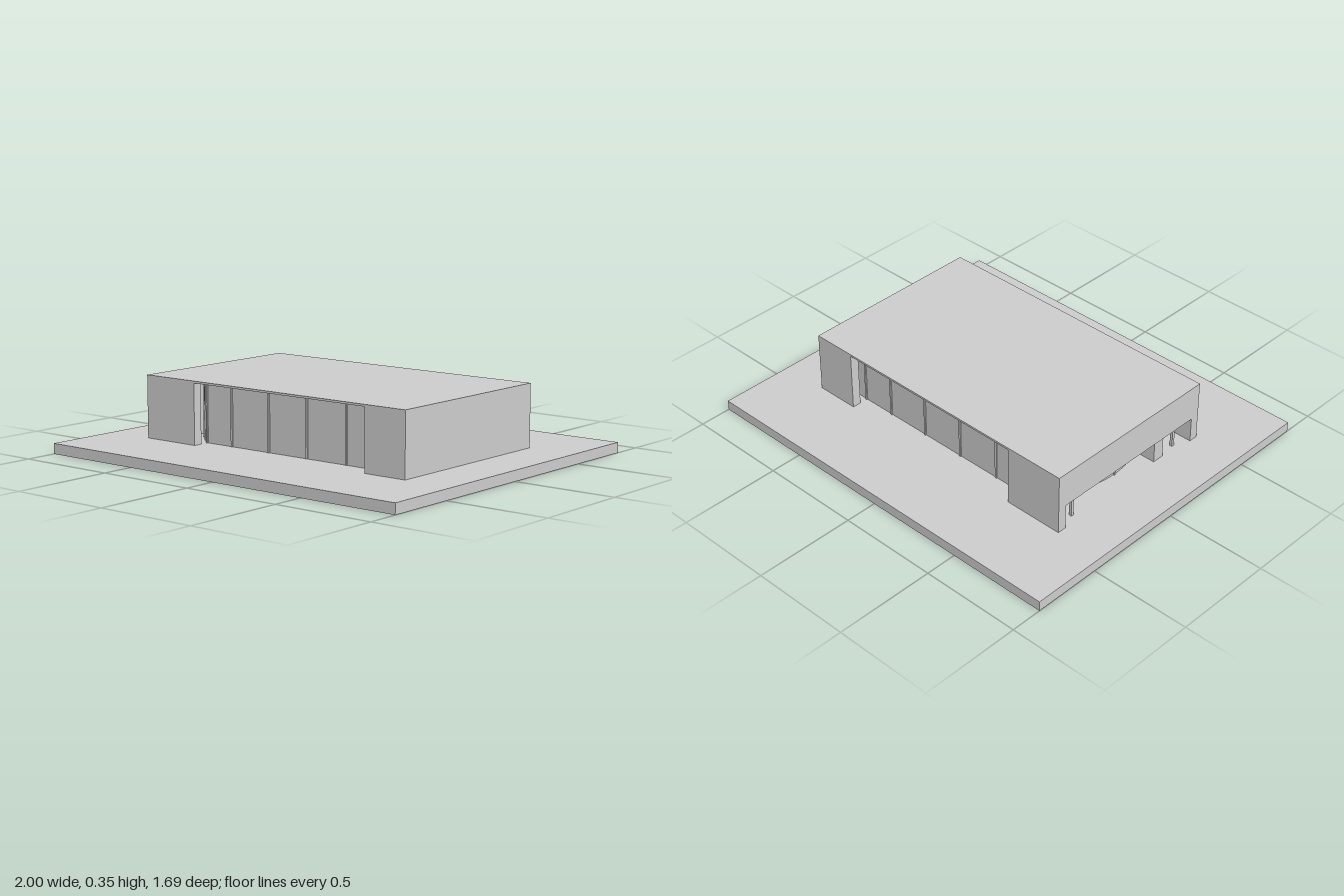
import * as THREE from 'three';

const material = new THREE.MeshStandardMaterial({ color: 0xcccccc, flatShading: true });
const thin = new THREE.MeshStandardMaterial({ color: 0xcccccc, side: THREE.DoubleSide });

const FLOOR = 0.05, CEILING = 0.34, ROOF = 0.35;
const X = 0.76, Z = 0.467, T = 0.045; // building half sizes, wall thickness
const OPEN_L = -0.46, OPEN_R = 0.54; // ends of the long window openings
const GLASS_Z = 0.38;

export function createModel() {
  const model = new THREE.Group();
  model.name = 'pavilion';

  // Box given by its limits on each axis
  function block(name, x0, x1, y0, y1, z0, z1) {
    const mesh = new THREE.Mesh(new THREE.BoxGeometry(x1 - x0, y1 - y0, z1 - z0), material);
    mesh.position.set((x0 + x1) / 2, (y0 + y1) / 2, (z0 + z1) / 2);
    mesh.name = name;
    model.add(mesh);
    return mesh;
  }

  // Thin upright bar centred on x, z
  function post(name, x, z, size = 0.01, angle = 0) {
    const h = size / 2;
    block(name, x - h, x + h, FLOOR, CEILING, z - h, z + h).rotation.y = angle;
  }

  // Ground slab, roof and closed end wall
  block('groundSlab', -1, 1, 0, FLOOR, -0.843, 0.843);
  block('roof', -X, X, CEILING, ROOF, -Z, Z);
  block('endWall', X - T, X, FLOOR, CEILING, -Z, Z);

  // Deep beam above the open end
  block('endBeam', -X, -X + T, 0.175, CEILING, -Z + T, Z - T);

  // Long sides, mirrored front to back
  for (const s of [1, -1]) {
    const side = s > 0 ? 'front' : 'back';
    const zs = (a, b) => (s > 0 ? [a, b] : [-b, -a]);
    block(side + 'OpenEndWall', -X, OPEN_L, FLOOR, CEILING, ...zs(Z - T, Z));
    block(side + 'ClosedEndWall', OPEN_R, X - T, FLOOR, CEILING, ...zs(Z - T, Z));
    block(side + 'Window', OPEN_L, X - T, FLOOR, CEILING, ...zs(GLASS_Z - 0.012, GLASS_Z));
    for (const x of [OPEN_L, -0.305, -0.08, 0.145, 0.37, OPEN_R]) {
      post(side + 'Mullion', x, s * GLASS_Z);
    }
  }

  // Bowed window wall behind the open end, joining the two long windows
  const radius = 0.45, centreX = -0.22, half = Math.asin(GLASS_Z / radius);
  const bow = new THREE.Mesh(
    new THREE.CylinderGeometry(radius, radius, CEILING - FLOOR, 32, 1, true,
      -Math.PI / 2 - half, half * 2), thin);
  bow.position.set(centreX, (FLOOR + CEILING) / 2, 0);
  bow.name = 'bowedWindow';
  model.add(bow);
  for (let i = -3; i <= 3; i++) {
    const a = (i / 3) * half;
    post('bowedMullion', centreX - radius * Math.cos(a), radius * Math.sin(a), 0.01, a);
  }

  // Entrance pier and slender columns at the open end
  block('entrancePier', -0.74, -0.64, FLOOR, CEILING, 0.19, 0.25);
  for (const z of [-0.34, 0.34]) post('column', -0.72, z, 0.014);

  return model;
}
